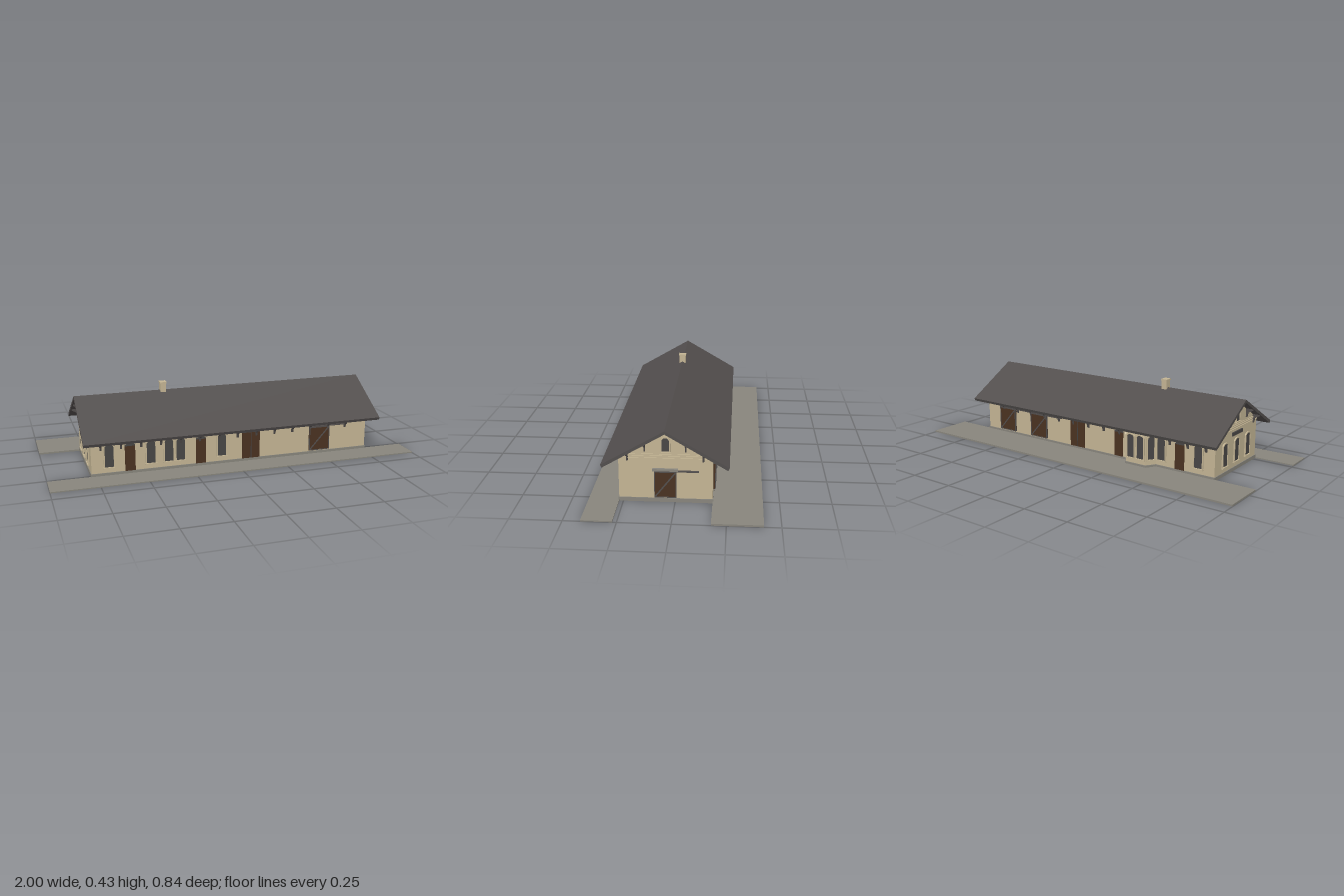
import * as THREE from 'three';

const mat = (name, color) => {
  const m = new THREE.MeshStandardMaterial({ color });
  m.name = name;
  return m;
};

export function createModel() {
  const root = new THREE.Group();
  root.name = 'stationBuilding';
  const wall = mat('tanWall', 0xc4b594);
  const roofGrey = mat('roofGrey', 0x524e4d);
  const glass = mat('windowGrey', 0x484645);
  const brown = mat('doorBrown', 0x4a3221);
  const stone = mat('platformGrey', 0x88857c);

  const L = 0.775, ZF = 0.27, ZB = -0.18, ZC = 0.045, SLOPE = 0.583;
  const under = z => 0.365 - SLOPE * Math.abs(z - ZC); // roof underside height

  const add = (parent, name, geo, m) => {
    const mesh = new THREE.Mesh(geo, m);
    mesh.name = name;
    parent.add(mesh);
    return mesh;
  };
  // Box from min and max corners
  const box = (parent, name, m, x0, x1, y0, y1, z0, z1) => {
    const b = add(parent, name, new THREE.BoxGeometry(x1 - x0, y1 - y0, z1 - z0), m);
    b.position.set((x0 + x1) / 2, (y0 + y1) / 2, (z0 + z1) / 2);
    return b;
  };
  const polygon = pts => new THREE.Shape(pts.map(p => new THREE.Vector2(p[0], p[1])));
  const extrude = (shape, depth) =>
    new THREE.ExtrudeGeometry(shape, { depth, bevelEnabled: false, curveSegments: 8 });
  // Cross-section of [z, y] points extruded along x
  const extrudeX = (pts, x0, x1) =>
    extrude(polygon(pts.map(([z, y]) => [-z, y])), x1 - x0).rotateY(Math.PI / 2).translate(x0, 0, 0);
  // Plan of [x, z] points extruded upwards
  const extrudeY = (pts, y0, y1) =>
    extrude(polygon(pts.map(([x, z]) => [x, -z])), y1 - y0).rotateX(-Math.PI / 2).translate(0, y0, 0);

  // Platforms and plinth
  box(root, 'frontPlatform', stone, -1, 1, 0, 0.006, ZF, 0.418);
  box(root, 'backPlatform', stone, -1, 1, 0, 0.009, -0.42, ZB);
  box(root, 'plinth', stone, -L - 0.004, L + 0.004, 0, 0.02, ZB - 0.004, ZF + 0.004);

  // Walls with gables
  add(root, 'walls', extrudeX([
    [ZF, 0.01], [ZF, under(ZF)], [ZC, 0.366], [ZB, under(ZB)], [ZB, 0.01]], -L, L), wall);

  // Roof slabs in one folded section
  add(root, 'roof', extrudeX([
    [ZC, 0.38], [0.349, 0.204], [0.343, 0.189], [ZC, 0.364],
    [-0.253, 0.189], [-0.259, 0.204]], -0.82, 0.82), roofGrey);

  // Chimney
  box(root, 'chimney', wall, -0.356, -0.326, 0.34, 0.418, 0.027, 0.063);
  box(root, 'chimneyCap', wall, -0.359, -0.323, 0.417, 0.425, 0.024, 0.066);

  // Bay on the back wall
  const BX = -0.335;
  const bayPlan = g => [[BX - 0.095 - g, ZB + 0.01], [BX - 0.095 - g, ZB], [BX - 0.06 - g, -0.23 - g],
    [BX + 0.06 + g, -0.23 - g], [BX + 0.095 + g, ZB], [BX + 0.095 + g, ZB + 0.01]];
  add(root, 'bayWalls', extrudeY(bayPlan(0), 0.01, 0.208), wall);
  add(root, 'bayPlinth', extrudeY(bayPlan(0.004), 0, 0.02), stone);

  // Local frame on a wall: +z points outwards
  const mount = (name, x, z, angle) => {
    const g = new THREE.Group();
    g.name = name;
    g.position.set(x, 0, z);
    g.rotation.y = angle;
    root.add(g);
    return g;
  };
  const arch = (hw, y0, y1, rise) => {
    const s = new THREE.Shape();
    s.moveTo(-hw, y0);
    s.lineTo(hw, y0);
    s.lineTo(hw, y1 - rise);
    s.absellipse(0, y1 - rise, hw, rise, 0, Math.PI, false, 0);
    return s;
  };

  // Arched window: pane, surrounding frame and sill
  const addWindow = (x, z, angle, w = 0.046, y0 = 0.05, y1 = 0.17, rise = 0.014) => {
    const g = mount('window', x, z, angle);
    const frame = arch(w / 2 + 0.006, y0 - 0.004, y1 + 0.006, rise + 0.004);
    frame.holes.push(arch(w / 2, y0, y1, rise));
    add(g, 'windowFrame', extrude(frame, 0.007), wall);
    add(g, 'windowPane', extrude(arch(w / 2, y0, y1, rise), 0.003), glass);
    box(g, 'windowSill', wall, -w / 2 - 0.008, w / 2 + 0.008, y0 - 0.007, y0 - 0.001, 0, 0.01);
  };

  // Hinged door with a narrow light above
  const addDoor = (x, z, angle, w, top) => {
    const g = mount('door', x, z, angle);
    const h = w / 2;
    box(g, 'doorLeaf', brown, -h, h, 0.02, top - 0.012, 0, 0.004);
    add(g, 'doorTransom', extrude(arch(h, top - 0.012, top, 0.008), 0.004), glass);
    if (w > 0.08) box(g, 'doorMeeting', glass, -0.0015, 0.0015, 0.02, top - 0.012, 0.003, 0.006);
  };

  // Sliding freight door with brace and rail
  const addSlidingDoor = (x, z, angle, w) => {
    const g = mount('slidingDoor', x, z, angle);
    const h = w / 2, y0 = 0.026, y1 = 0.16;
    box(g, 'slidingLeaf', brown, -h, h, y0, y1, 0, 0.008);
    for (const s of [-1, 1]) {
      const c = s * (h - 0.002);
      box(g, 'slidingStile', roofGrey, c - 0.002, c + 0.002, y0, y1, 0.001, 0.011);
    }
    box(g, 'slidingTopRail', roofGrey, -h, h, y1 - 0.004, y1, 0.001, 0.011);
    box(g, 'slidingBottomRail', roofGrey, -h, h, y0, y0 + 0.004, 0.001, 0.011);
    const dx = w - 0.008, dy = y1 - y0 - 0.008;
    const brace = add(g, 'slidingBrace',
      new THREE.BoxGeometry(Math.hypot(dx, dy), 0.007, 0.008), roofGrey);
    brace.position.set(0, (y0 + y1) / 2, 0.006);
    brace.rotation.z = Math.atan2(dy, dx);
    box(g, 'slidingTrack', roofGrey, -h, h + 0.107, y1, y1 + 0.006, 0, 0.011);
    return g;
  };

  // Openings of the front wall
  for (const x of [-0.682, -0.463, -0.367, -0.304, -0.077]) addWindow(x, ZF, 0);
  for (const x of [-0.573, -0.193]) addDoor(x, ZF, 0, 0.054, 0.166);
  addDoor(0.089, ZF, 0, 0.1, 0.176);
  addSlidingDoor(0.49, ZF, 0, 0.12);

  // Openings of the back wall and bay
  for (const x of [-0.682, -0.463]) addWindow(x, ZB, Math.PI);
  for (const x of [-0.573, -0.193]) addDoor(x, ZB, Math.PI, 0.054, 0.166);
  addDoor(0.089, ZB, Math.PI, 0.1, 0.176);
  for (const x of [0.615, 0.372]) addSlidingDoor(x, ZB, Math.PI, 0.12);
  for (const s of [-1, 1]) {
    addWindow(BX + s * 0.03, -0.23, Math.PI, 0.042, 0.05, 0.175);
    addWindow(BX + s * 0.0775, -0.205, Math.atan2(s * 0.05, -0.035), 0.036, 0.05, 0.175);
  }

  // Openings of the two gable ends
  const freight = addSlidingDoor(L, 0.046, Math.PI / 2, 0.106);
  box(freight, 'freightLintel', stone, -0.061, 0.061, 0.164, 0.175, 0, 0.014);
  for (const z of [-0.08, ZC, 0.17]) addWindow(-L, z, -Math.PI / 2);
  const board = mount('nameBoard', -L, ZC, -Math.PI / 2);
  box(board, 'boardPlate', glass, -0.055, 0.055, 0.193, 0.211, 0, 0.007);

  for (const s of [-1, 1]) {
    addWindow(s * L, ZC, s * Math.PI / 2, 0.035, 0.262, 0.331, 0.017);
    // Belt mouldings
    for (const y of [0.226, 0.237, 0.246]) {
      const hw = Math.min(0.225, (0.362 - y) / SLOPE);
      const x = s * (L + 0.001);
      box(root, 'beltMoulding', wall, x - 0.003, x + 0.003, y - 0.002, y + 0.002, ZC - hw, ZC + hw);
    }
    // Gable brackets
    for (const z of [0.227, 0.144, -0.052, -0.135]) {
      const y = under(z) + 0.002;
      const g = extrude(polygon([[L - 0.003, y - 0.048], [L + 0.007, y - 0.048],
        [L + 0.012, y - 0.024], [0.815, y - 0.009], [0.815, y], [L - 0.003, y]]), 0.007);
      g.translate(0, 0, -0.0035);
      if (s < 0) g.rotateY(Math.PI);
      add(root, 'gableBracket', g, roofGrey).position.z = z;
    }
    // Curved eave brackets
    for (let i = 0; i < 14; i++) {
      const x = -0.725 + i * 0.1054;
      if (s < 0 && Math.abs(x - BX) < 0.1) continue;
      const profile = [[-0.003, 0.14], [0.006, 0.143], [0.012, 0.163], [0.028, 0.18],
        [0.066, 0.187], [0.066, 0.197], [-0.003, 0.198]];
      const pts = profile.map(([d, y]) => [ZC + s * (0.225 + d), y]);
      add(root, 'eaveBracket', extrudeX(pts, x - 0.005, x + 0.005), roofGrey);
    }
  }
  return root;
}
